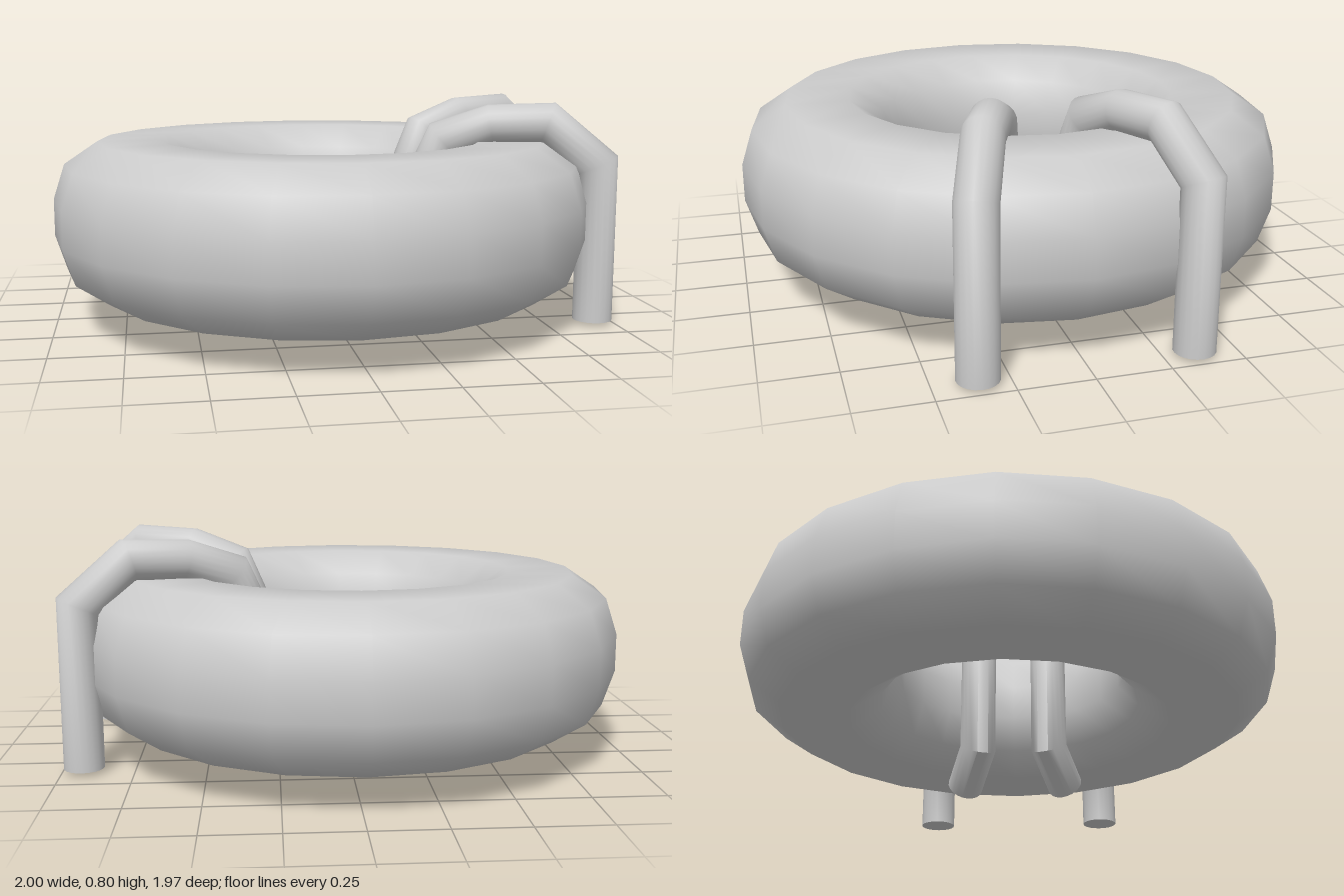
import * as THREE from 'three';
import { toCreasedNormals } from 'three/addons/utils/BufferGeometryUtils.js';

const material = new THREE.MeshStandardMaterial({ color: 0xcccccc });
const CREASE = 1;

// Round bar swept along a bent path in the xy plane, mitred at the bends, with flat end caps
function bentBar(path, radius, sides) {
  const pts = path.map(([x, y]) => new THREE.Vector2(x, y));
  const last = pts.length - 1;
  const positions = [], index = [];
  const dir = i => pts[i + 1].clone().sub(pts[i]).normalize();
  pts.forEach((p, i) => {
    const before = dir(Math.max(i - 1, 0));
    const after = dir(Math.min(i, last - 1));
    const t = before.clone().add(after).normalize();
    const mitre = radius / t.dot(after);
    for (let j = 0; j < sides; j++) {
      const a = (j / sides) * Math.PI * 2;
      const c = Math.cos(a) * mitre;
      positions.push(p.x - t.y * c, p.y + t.x * c, Math.sin(a) * radius);
    }
  });
  const start = positions.length / 3;
  positions.push(pts[0].x, pts[0].y, 0, pts[last].x, pts[last].y, 0);
  for (let j = 0; j < sides; j++) {
    const k = (j + 1) % sides;
    for (let i = 0; i < last; i++) {
      const a = i * sides, b = a + sides;
      index.push(a + j, a + k, b + j, a + k, b + k, b + j);
    }
    index.push(start, k, j, start + 1, last * sides + j, last * sides + k);
  }
  const geometry = new THREE.BufferGeometry();
  geometry.setAttribute('position', new THREE.Float32BufferAttribute(positions, 3));
  geometry.setIndex(index);
  return toCreasedNormals(geometry, CREASE);
}

export function createModel() {
  const model = new THREE.Group();
  model.name = 'ringWithHooks';

  // Ring: twelve-sided section, mirrored from one quarter, turned in twenty steps
  const quarter = [[0.275, 0.067], [0.234, 0.194], [0.114, 0.275]];
  const flipped = quarter.slice().reverse();
  const section = [
    ...quarter,
    ...flipped.map(([x, y]) => [-x, y]),
    ...quarter.map(([x, y]) => [-x, -y]),
    ...flipped.map(([x, y]) => [x, -y]),
  ];
  section.push(section[0]);
  const profile = section.map(([x, y]) => new THREE.Vector2(0.708 + x, 0.383 + y));
  const ring = new THREE.Mesh(
    toCreasedNormals(new THREE.LatheGeometry(profile, 20), CREASE), material);
  ring.name = 'ring';
  ring.position.x = -0.017;
  model.add(ring);

  // Hooks: outer leg, over the top, down through the hole, out underneath
  const hookPath = [
    [1.007, 0.015], [1.007, 0.58], [0.83, 0.728], [0.627, 0.72], [0.455, 0.662],
    [0.402, 0.55], [0.402, 0.165], [0.579, 0.061],
  ];
  const hookGeometry = bentBar(hookPath, 0.07, 20);
  for (const [name, side] of [['frontHook', 1], ['backHook', -1]]) {
    const hook = new THREE.Mesh(hookGeometry, material);
    hook.name = name;
    hook.position.x = -0.017;
    hook.rotation.y = -side * 0.36;
    model.add(hook);
  }
  return model;
}
